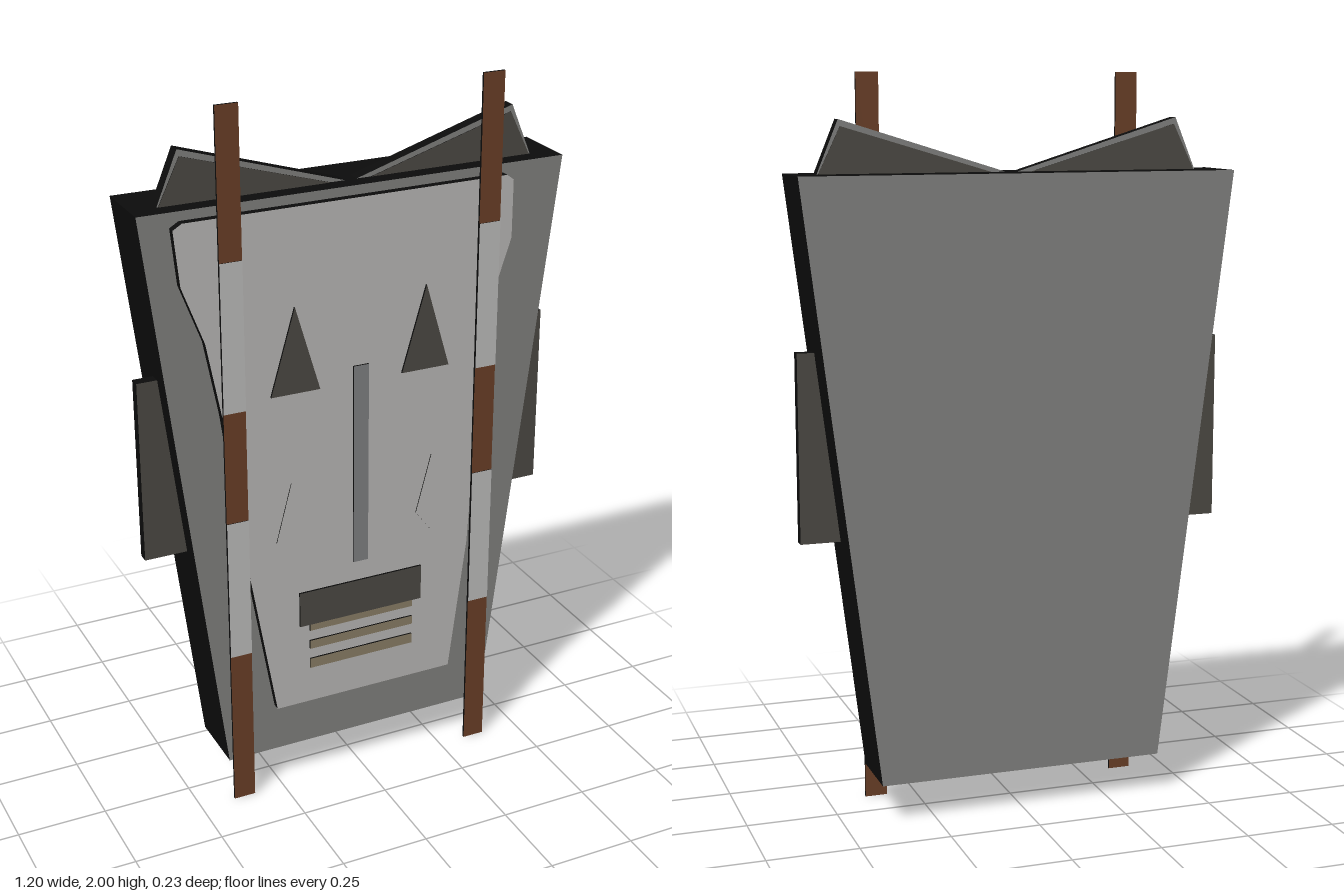
import * as THREE from 'three';

const mat = (name, color) => {
  const m = new THREE.MeshStandardMaterial({ color });
  m.name = name;
  return m;
};

export function createModel() {
  const root = new THREE.Group();
  root.name = 'carvedMask';

  const black = mat('blackEdge', 0x0c0c0c);
  const stone = mat('stoneGrey', 0x888886);
  const pale = mat('paleGrey', 0xc5c3c1);
  const dark = mat('darkUmber', 0x514e48);
  const nose = mat('noseGrey', 0x87888a);
  const tan = mat('toothTan', 0x92866c);
  const brown = mat('strapBrown', 0x70432a);
  const white = mat('bandGrey', 0xc9c8c7);

  // Flat cut-out with coloured faces and black edges, from z0 to z1
  const plate = (name, pts, z0, z1, face) => {
    const shape = new THREE.Shape(pts.map(([x, y]) => new THREE.Vector2(x, y)));
    const geo = new THREE.ExtrudeGeometry(shape, { depth: z1 - z0, bevelEnabled: false });
    const mesh = new THREE.Mesh(geo, [face, black]);
    mesh.name = name;
    mesh.position.z = z0;
    root.add(mesh);
    return mesh;
  };
  const rect = (x0, x1, y0, y1) => [[x0, y0], [x1, y0], [x1, y1], [x0, y1]];

  // Tapered slab and raised face
  plate('body', [[-0.4, 0.11], [0.4, 0.11], [0.6, 1.74], [-0.6, 1.74]], -0.115, 0.072, stone);
  plate('facePlate', [
    [-0.26, 0.255], [0.28, 0.255], [0.33, 0.65], [0.36, 1.2], [0.4, 1.42], [0.44, 1.54],
    [0.44, 1.7], [0.42, 1.715], [-0.49, 1.715], [-0.515, 1.7], [-0.5, 1.55],
    [-0.44, 1.39], [-0.4, 1.18], [-0.335, 0.7],
  ], 0.072, 0.094, pale);

  for (const s of [-1, 1]) {
    const side = s < 0 ? 'right' : 'left';
    const mirror = (pts) => pts.map(([x, y]) => [x * s, y]);

    // Crest horn: grey rim with a dark inset on both sides
    plate(side + 'Horn', mirror([[0, 1.735], [0.53, 1.735], [0.47, 1.88]]), -0.013, 0.023, stone);
    plate(side + 'HornInset', mirror([[0.05, 1.738], [0.525, 1.738], [0.465, 1.862]]), -0.015, 0.025, dark);

    // Side ear
    const outer = s < 0 ? -0.6 : 0.59;
    plate(side + 'Ear', rect(Math.min(outer, s * 0.45), Math.max(outer, s * 0.45), 0.77, 1.28), -0.015, 0.015, dark);

    // Eye
    const ex = s * 0.19 - 0.005;
    plate(side + 'Eye', [[ex - 0.07, 1.21], [ex + 0.07, 1.21], [ex, 1.45]], 0.09, 0.1, dark);

    // Raised cheek mark
    const cx = s * 0.21;
    plate(side + 'Cheek', [[cx, 0.72], [cx + 0.053, 0.83], [cx, 0.95], [cx - 0.045, 0.78]], 0.088, 0.097, pale);

    // Hanging strap in alternating bands
    const x = s < 0 ? -0.4 : 0.33;
    const z = s < 0 ? 0.096 : 0.106;
    const cuts = [0, 0.465, 0.873, 1.19, 1.6, 2];
    for (let i = 0; i < 5; i++) {
      const light = i % 2 === 1;
      plate(side + (light ? 'StrapBand' : 'Strap') + i, rect(x, x + 0.062, cuts[i], cuts[i + 1]),
        z, z + (light ? 0.009 : 0.007), light ? white : brown);
    }
  }

  // Nose, mouth and teeth
  plate('nose', rect(-0.027, 0.017, 0.67, 1.255), 0.09, 0.099, nose);
  plate('mouth', rect(-0.19, 0.183, 0.505, 0.61), 0.09, 0.1, dark);
  [[0.485, 0.51], [0.427, 0.453], [0.365, 0.395]].forEach(([y0, y1], i) =>
    plate('tooth' + i, rect(-0.16, 0.157, y0, y1), 0.09, 0.099, tan));

  return root;
}
